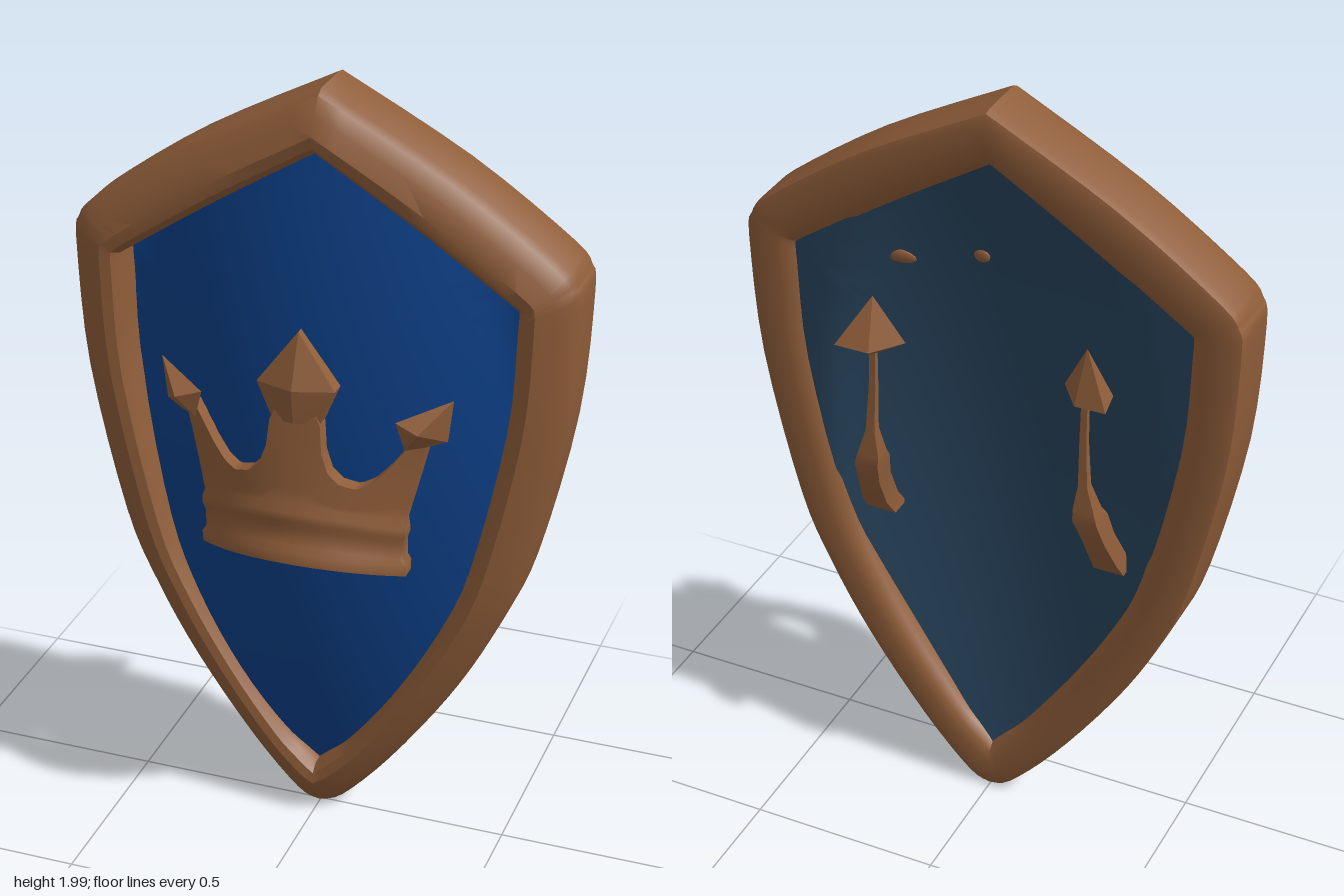
import * as THREE from 'three';
import { toCreasedNormals } from 'three/addons/utils/BufferGeometryUtils.js';
import { ConvexGeometry } from 'three/addons/geometries/ConvexGeometry.js';

const V2 = (x, y) => new THREE.Vector2(x, y);
const material = (name, color) => {
  const m = new THREE.MeshStandardMaterial({ color });
  m.name = name;
  return m;
};

// Surface through rows of [x, y, z] points; each row is a closed loop
function loft(rows, { closed = false, flip = false, crease = 0.6 } = {}) {
  const n = rows[0].length, index = [];
  const count = closed ? rows.length : rows.length - 1;
  for (let i = 0; i < count; i++) for (let j = 0; j < n; j++) {
    const i2 = (i + 1) % rows.length, j2 = (j + 1) % n;
    const a = i * n + j, b = i * n + j2, c = i2 * n + j2, d = i2 * n + j;
    if (flip) index.push(a, c, b, a, d, c);
    else index.push(a, b, c, a, c, d);
  }
  const g = new THREE.BufferGeometry();
  g.setAttribute('position', new THREE.Float32BufferAttribute(rows.flat(2), 3));
  g.setIndex(index);
  return toCreasedNormals(g, crease);
}

// Closed shield outline, clockwise from the peak, mirrored about x = 0
function outline(roof, side) {
  const half = [
    ...new THREE.SplineCurve(roof.map(p => V2(...p))).getPoints(12),
    ...new THREE.SplineCurve(side.map(p => V2(...p))).getPoints(32).slice(1),
  ];
  const left = half.slice(1, -1).reverse().map(p => V2(-p.x, p.y));
  return [...half, ...left];
}

// Piecewise linear lookup in [[x, y], ...]
function lookup(table, x) {
  for (let i = 1; i < table.length; i++) {
    const [x0, y0] = table[i - 1], [x1, y1] = table[i];
    if (x <= x1) return y0 + (y1 - y0) * (x - x0) / (x1 - x0);
  }
  return table[table.length - 1][1];
}

export function createModel() {
  const group = new THREE.Group();
  const brown = material('bronze brown', 0x8f5d39);
  const blue = material('royal blue', 0x0d4088);
  const slate = material('slate blue back', 0x27435c);
  const add = (name, geometry, mat) => {
    const mesh = new THREE.Mesh(geometry, mat);
    mesh.name = name;
    group.add(mesh);
  };

  const outer = outline(
    [[0, 2], [0.33, 1.825], [0.59, 1.645], [0.635, 1.59]],
    [[0.635, 1.59], [0.645, 1.53], [0.622, 1.2], [0.535, 0.8], [0.455, 0.6], [0.345, 0.4], [0.19, 0.18], [0.06, 0.035], [0, 0.01]]);
  const inner = outline(
    [[0, 1.85], [0.25, 1.695], [0.46, 1.555], [0.505, 1.525]],
    [[0.505, 1.525], [0.503, 1.47], [0.485, 1.2], [0.4, 0.8], [0.32, 0.6], [0.205, 0.4], [0.09, 0.24], [0.03, 0.18], [0, 0.15]]);

  // Rim: cross-section as [outer-to-inner fraction, z]
  const section = [[0.03, -0.148], [0, -0.125], [0, 0.0], [0.08, 0.022], [0.35, 0.05], [0.65, 0.071],
    [0.85, 0.066], [0.97, 0.045], [1, 0.01], [1, -0.1], [0.95, -0.128], [0.8, -0.147], [0.6, -0.155], [0.15, -0.155]];
  add('rim', loft(outer.map((o, i) => section.map(([s, z]) => {
    const p = o.clone().lerp(inner[i], s);
    return [p.x, p.y, z];
  })), { closed: true }), brown);

  // Domed panel, front and back faces
  const frontZ = (x, y) => Math.max(-0.03, 0.128 - 0.62 * x * x - 0.14 * (y - 1.06) ** 2);
  const backZ = (x, y) => Math.max(-0.135, frontZ(x, y) - 0.14);
  const panel = (depth, flip) => {
    const rows = [];
    for (let k = 0; k <= 14; k++) {
      const s = 1.03 * k / 14;
      rows.push(inner.map(p => {
        const x = p.x * s, y = 1.1 + (p.y - 1.1) * s;
        return [x, y, depth(x, y)];
      }));
    }
    return loft(rows, { flip, crease: 1 });
  };
  add('panelFront', panel(frontZ, false), blue);
  add('panelBack', panel(backZ, true), slate);

  // Crown body: bowed band with lips, rising to three prongs
  const top = [[0, 1.24], [0.19, 1.24], [0.23, 1.15], [0.3, 1.1], [0.4, 1.073], [0.55, 1.06],
    [0.66, 1.075], [0.76, 1.11], [0.86, 1.165], [0.89, 1.19], [1, 1.195]];
  const lip = [[0, 0.012], [0.03, 0.014], [0.045, 0.002], [0.09, 0.001], [0.11, 0.01], [0.13, 0.01], [0.15, 0]];
  const crownZ = (x, y) => 0.242 - 0.14 * (y - 0.86) - 1.6 * x * x * (1 - 1.6 * (y - 0.9));
  const crownPoint = (u, h, thickness) => {
    const y = 0.862 - 0.05 * u * u + h;
    const bump = lookup(lip, h);
    const x = u * (0.258 + bump * 0.8 + 0.24 * Math.max(0, y - 0.95));
    return [x, y, crownZ(x, y) + bump - thickness];
  };
  const crownRows = [];
  const columns = 60;
  for (let k = -1; k <= columns + 1; k++) {
    const u = THREE.MathUtils.clamp(k / columns, 0, 1) * 2 - 1;
    const end = k < 0 || k > columns;
    const rise = lookup(top, Math.abs(u)) - 0.862 + 0.05 * u * u;
    const heights = lip.map(l => l[0]);
    for (let r = 1; r <= 6; r++) heights.push(0.15 + (rise - 0.15) * r / 6);
    crownRows.push([
      ...heights.map(h => crownPoint(u, h, end ? 0.02 : 0)),
      ...heights.slice().reverse().map(h => crownPoint(u, h, end ? 0.02 : 0.04)),
    ]);
  }
  add('crownBody', loft(crownRows, { flip: true, crease: 0.7 }), brown);

  // Faceted prong heads
  const head = (name, points, s = 1) =>
    add(name, new ConvexGeometry(points.map(([x, y, z]) => new THREE.Vector3(s * x, y, z))), brown);
  const plate = [[0, 1.445], [0.1, 1.31], [0.06, 1.215], [-0.06, 1.215], [-0.1, 1.31]];
  head('crownCentreHead', [
    ...plate.map(([x, y]) => [x, y, 0.14]),
    ...plate.map(([x, y]) => [x, y, y > 1.4 ? 0.16 : 0.18]),
    [0, 1.31, 0.212], [0, 1.22, 0.2],
  ]);

  // Back stems as [y, x, z, half width, half depth]
  const stem = [[0.79, 0.315, -0.09, 0.04, 0.03], [0.84, 0.315, -0.125, 0.035, 0.03], [0.93, 0.305, -0.17, 0.03, 0.03],
    [1.0, 0.295, -0.197, 0.032, 0.033], [1.03, 0.29, -0.205, 0.028, 0.022], [1.1, 0.285, -0.21, 0.012, 0.012],
    [1.22, 0.28, -0.205, 0.009, 0.008], [1.34, 0.28, -0.2, 0.008, 0.007]];
  for (const s of [1, -1]) {
    const side = s > 0 ? 'left' : 'right';
    head(side + 'CrownHead', [[0.248, 1.25, 0.17], [0.375, 1.302, 0.11], [0.362, 1.19, 0.11], [0.315, 1.182, 0.14],
      [0.27, 1.175, 0.16], [0.31, 1.235, 0.19], [0.335, 1.23, 0.08]], s);
    add(side + 'BackStem', loft(stem.map(([y, x, z, w, d]) =>
      [[-w, d], [w, d], [w, -d], [-w, -d]].map(([a, b]) => [s * x + a, y, z + b]))), brown);
    head(side + 'BackHead', [[0.28, 1.472, -0.195], [0.21, 1.34, -0.165], [0.27, 1.34, -0.245], [0.355, 1.35, -0.258],
      [0.335, 1.34, -0.165], [0.28, 1.31, -0.2]], s);
  }

  // Small studs showing through the back
  for (const [x, y, w] of [[0.265, 1.53, 0.05], [0.06, 1.56, 0.022]]) {
    const stud = new THREE.SphereGeometry(1, 14, 8);
    stud.scale(w, 0.018, 0.007);
    stud.translate(x, y, backZ(x, y));
    add('backStud', stud, brown);
  }
  return group;
}
